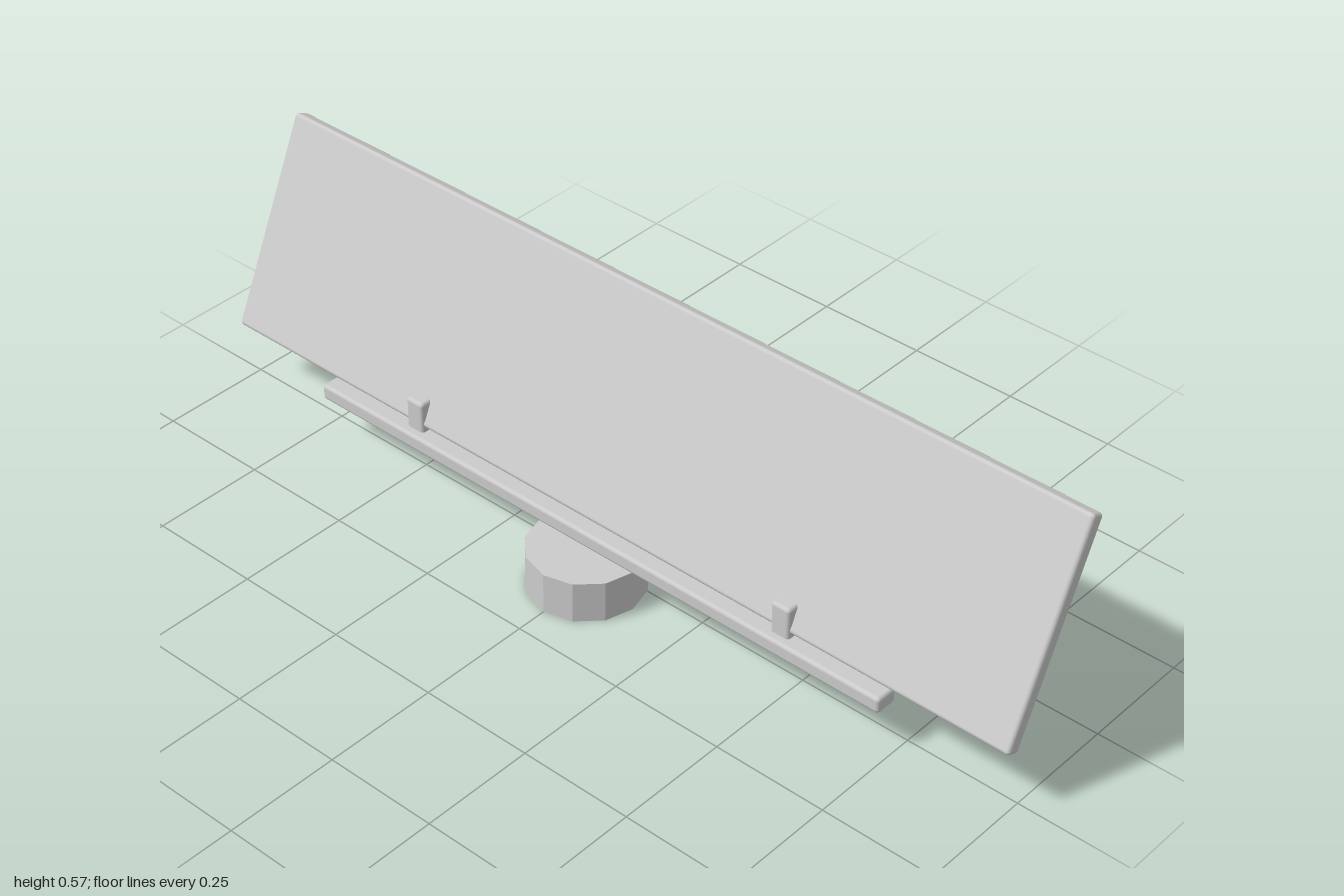
import * as THREE from 'three';
import { RoundedBoxGeometry } from 'three/addons/geometries/RoundedBoxGeometry.js';

export function createModel() {
  const model = new THREE.Group();
  model.name = 'tiltedPanelStand';

  const lightGrey = new THREE.MeshStandardMaterial({ color: 0xcccccc });
  lightGrey.name = 'lightGrey';
  // Facets are separate from the smooth softened edges
  const bevelRadius = 0.008;

  function add(name, geometry, x, y, z) {
    const mesh = new THREE.Mesh(geometry, lightGrey);
    mesh.name = name;
    mesh.position.set(x, y, z);
    model.add(mesh);
    return mesh;
  }
  const softBox = (w, h, d) => new RoundedBoxGeometry(w, h, d, 2, bevelRadius);

  // Twelve-sided foot with flat sides
  const foot = new THREE.CylinderGeometry(0.123, 0.123, 0.092, 12).toNonIndexed();
  foot.computeVertexNormals();
  add('foot', foot, 0, 0.046, 0.059);

  // Long rail lying on the foot
  add('rail', softBox(1.456, 0.036, 0.052), 0, 0.112, 0.043);

  // Wide panel leaning backwards
  const panel = add('panel', softBox(2, 0.473, 0.035), 0, 0.353, -0.066);
  panel.rotation.x = -THREE.MathUtils.degToRad(24.5);

  // Pair of clips gripping the panel's lower edge
  for (const side of [-1, 1]) {
    const clip = add('clip', softBox(0.045, 0.09, 0.06), side * 0.477, 0.155, 0.02);
    clip.name = side > 0 ? 'leftClip' : 'rightClip';
  }

  return model;
}
